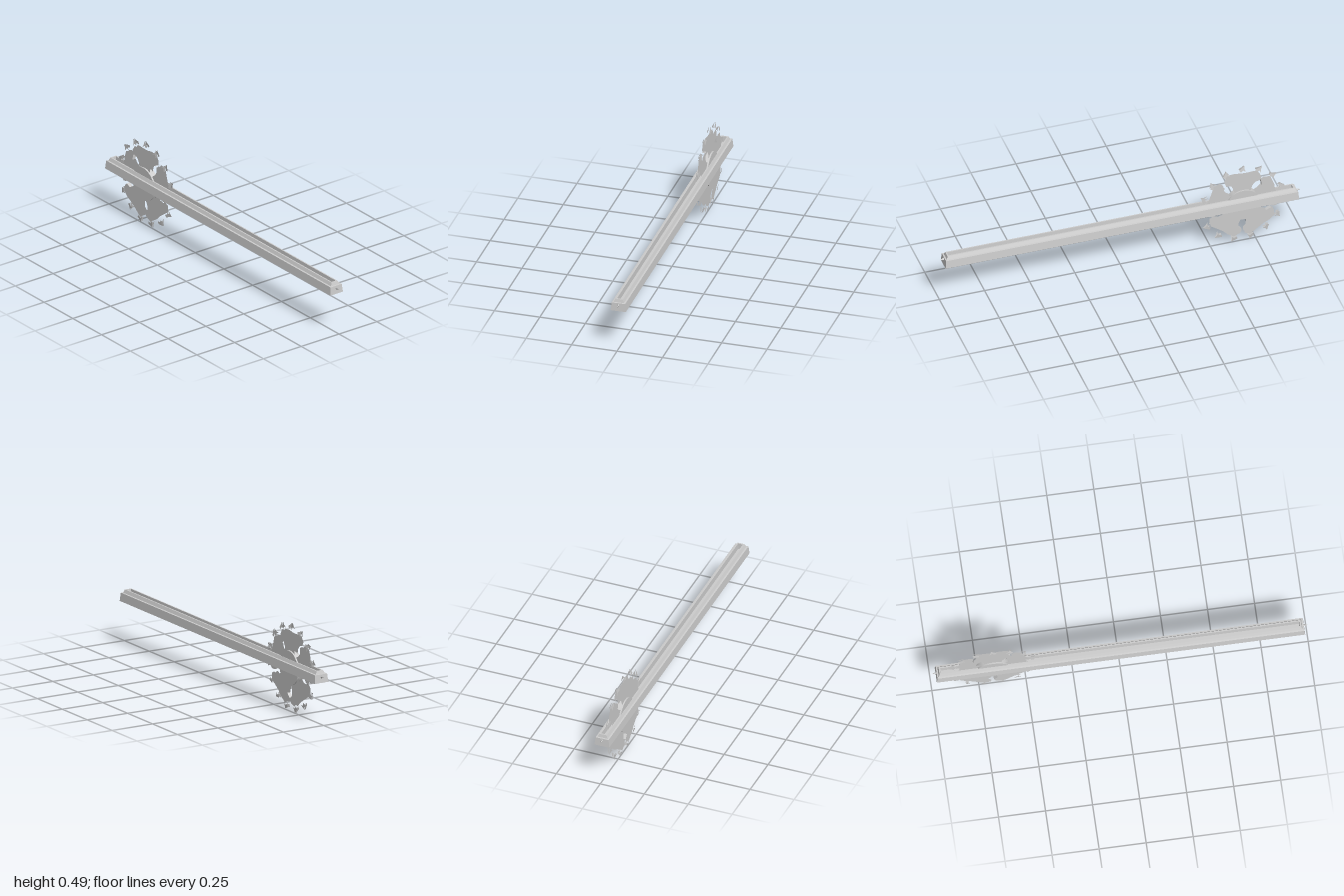
import * as THREE from 'three';

const material = new THREE.MeshStandardMaterial({
  color: 0xcccccc, flatShading: true, side: THREE.DoubleSide,
});

function add(parent, name, geometry, mat = material) {
  const mesh = new THREE.Mesh(geometry, mat);
  mesh.name = name;
  parent.add(mesh);
  return mesh;
}

// Lofts nested rectangles [halfX, y, halfZ]; the last one is closed off
function ringLoft(rings) {
  const positions = [], index = [];
  for (const [x, y, z] of rings) positions.push(-x, y, z, x, y, z, x, y, -z, -x, y, -z);
  for (let r = 0; r < rings.length - 1; r++) {
    for (let i = 0; i < 4; i++) {
      const a = r * 4 + i, b = r * 4 + (i + 1) % 4;
      index.push(a, b, b + 4, a, b + 4, a + 4);
    }
  }
  const l = (rings.length - 1) * 4;
  index.push(l, l + 1, l + 2, l, l + 2, l + 3);
  const g = new THREE.BufferGeometry();
  g.setAttribute('position', new THREE.Float32BufferAttribute(positions, 3));
  g.setIndex(index);
  const flat = g.toNonIndexed();
  flat.computeVertexNormals();
  return flat;
}

// Polar outline: [degrees from the piece's centre line, radius]
const polar = (centre, [deg, r]) => {
  const a = THREE.MathUtils.degToRad(centre + deg);
  return new THREE.Vector2(r * Math.cos(a), r * Math.sin(a));
};

// A pair of thin sheets, spaced by a half thickness that depends on the radius
function addSheets(parent, name, centre, outline, halfThickness) {
  const shape = new THREE.Shape(outline.map((p) => polar(centre, p)));
  for (const side of [1, -1]) {
    const g = new THREE.ShapeGeometry(shape);
    const p = g.attributes.position;
    for (let i = 0; i < p.count; i++) {
      p.setZ(i, side * halfThickness(Math.hypot(p.getX(i), p.getY(i))));
    }
    g.computeVertexNormals();
    add(parent, name, g);
  }
}

const PLATE = [
  [-36, 0.07], [-27, 0.1], [-25, 0.125], [-28, 0.15], [-34, 0.165], [-33, 0.19],
  [-24, 0.208], [-12, 0.192], [0, 0.188], [11, 0.198], [22, 0.207], [31, 0.187],
  [34, 0.165], [26, 0.145], [25, 0.12], [28, 0.1], [36, 0.07], [0, 0.05],
];
const TOOTH = [
  [-5, 0.209], [-1, 0.219], [3, 0.21], [5, 0.224], [1.5, 0.232], [-2.5, 0.246], [-2.5, 0.229],
];

function createBlade() {
  const blade = new THREE.Group();
  blade.name = 'sawBlade';

  // Thick round hub
  const hubMaterial = new THREE.MeshStandardMaterial({ color: 0xcccccc });
  const hub = add(blade, 'hub', new THREE.CylinderGeometry(0.094, 0.094, 0.036, 32), hubMaterial);
  hub.rotation.x = Math.PI / 2;

  for (let i = 0; i < 5; i++) {
    const centre = 90 + 72 * i;
    addSheets(blade, 'bladePlate', centre, PLATE, () => 0.01);

    // Wall along the gap beside each plate
    const a = polar(centre, [34, 0.165]), b = polar(centre, [26, 0.145]);
    const wall = add(blade, 'plateWall', new THREE.PlaneGeometry(a.distanceTo(b), 0.02));
    wall.geometry.rotateX(Math.PI / 2);
    wall.position.set((a.x + b.x) / 2, (a.y + b.y) / 2, 0);
    wall.rotation.z = Math.atan2(b.y - a.y, b.x - a.x);

    // Hooked teeth, tapering to a sharp tip
    for (const step of [-24, 0, 24]) {
      addSheets(blade, 'tooth', centre + step, TOOTH,
        (r) => THREE.MathUtils.mapLinear(r, 0.209, 0.246, 0.009, 0.003));
    }
  }
  blade.rotation.y = Math.PI / 2;
  blade.position.set(0, 0.25, -0.677);
  return blade;
}

export function createModel() {
  const model = new THREE.Group();
  model.name = 'sawBladeRail';

  // Hollow rail: sloped skirt, raised lip and sunken track
  add(model, 'rail', ringLoft([
    [0.042, 0.235, 0.979], [0.037, 0.28, 0.975], [0.028, 0.281, 0.967],
    [0.02, 0.298, 0.962], [0.013, 0.298, 0.954], [0.011, 0.267, 0.952],
  ]));

  // Small pointed stops at both ends
  for (const side of [1, -1]) {
    const stop = add(model, 'endStop', new THREE.ConeGeometry(0.014, 0.035, 4));
    stop.rotation.x = side * Math.PI / 2;
    stop.scale.x = 0.6;
    stop.position.set(0, 0.268, side * 0.9825);
  }

  model.add(createBlade());
  return model;
}
